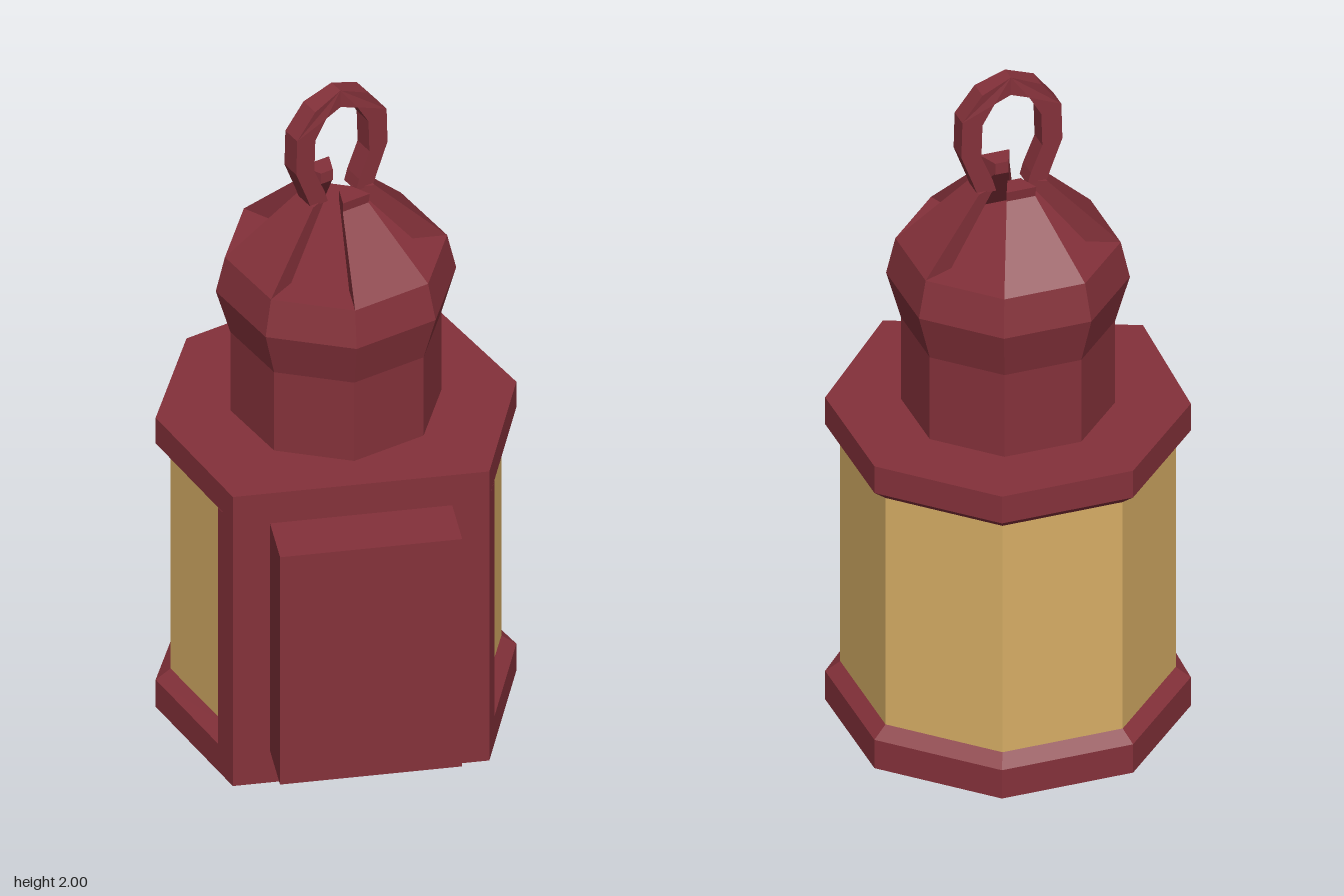
import * as THREE from 'three';

const red = new THREE.MeshStandardMaterial({ color: 0x84313a });
red.name = 'dark red paint';
const amber = new THREE.MeshStandardMaterial({ color: 0xd6ad65 });
amber.name = 'amber glass';

const CZ = -0.033; // z of the lantern's axis

// Flat-faced solid through stacked outlines: levels are [y, [[x, z], ...]] from bottom to top
function loft(levels, caps = true) {
  const pos = [];
  const put = (y, p) => pos.push(p[0], y, p[1]);
  for (let l = 0; l < levels.length - 1; l++) {
    const [y0, lo] = levels[l], [y1, hi] = levels[l + 1];
    for (let i = 0; i < lo.length; i++) {
      const j = (i + 1) % lo.length;
      put(y0, lo[i]); put(y0, lo[j]); put(y1, hi[j]);
      put(y0, lo[i]); put(y1, hi[j]); put(y1, hi[i]);
    }
  }
  if (caps) {
    const [yb, bottom] = levels[0], [yt, top] = levels[levels.length - 1];
    for (let i = 1; i < top.length - 1; i++) {
      put(yt, top[0]); put(yt, top[i]); put(yt, top[i + 1]);
      put(yb, bottom[0]); put(yb, bottom[i + 1]); put(yb, bottom[i]);
    }
  }
  const g = new THREE.BufferGeometry();
  g.setAttribute('position', new THREE.Float32BufferAttribute(pos, 3));
  g.computeVertexNormals();
  return g;
}

const polar = (r, k) => [r * Math.sin(k * Math.PI / 4), CZ + r * Math.cos(k * Math.PI / 4)];
const octagon = (r) => Array.from({ length: 8 }, (_, k) => polar(r, k));

// Octagon whose front is squared off to a flat panel
const bodyOutline = (r, frontX, frontZ) =>
  [[-frontX, frontZ], [frontX, frontZ], ...[2, 3, 4, 5, 6].map((k) => polar(r, k))];

// One eighth of a ring between two radii
const sector = (k, inner, outer) =>
  [polar(outer, k), polar(outer, k + 1), polar(inner, k + 1), polar(inner, k)];

export function createModel() {
  const group = new THREE.Group();
  const add = (name, geometry, material = red) => {
    const mesh = new THREE.Mesh(geometry, material);
    mesh.name = name;
    group.add(mesh);
    return mesh;
  };

  // Body: bevelled rims with glass between them
  const rim = bodyOutline(0.495, 0.352, 0.367);
  const pane = bodyOutline(0.454, 0.347, 0.26);
  add('baseRim', loft([[0, rim], [0.09, rim], [0.122, pane]]));
  add('topRim', loft([[0.842, pane], [0.875, rim], [0.96, rim]]));
  add('glass', loft([[0.122, pane], [0.842, pane]], false), amber);

  // Solid front with a raised box
  const panel = [[-0.352, 0.367], [0.352, 0.367], [0.38, 0.29],
    [0.347, 0.26], [-0.347, 0.26], [-0.38, 0.29]];
  add('frontPanel', loft([[0.09, panel], [0.875, panel]]));
  add('frontBox', new THREE.BoxGeometry(0.5, 0.755, 0.167)).position.set(0, 0.4825, 0.4435);

  // Chimney
  add('chimney', loft([[0.96, 0.29], [1.22, 0.29], [1.36, 0.33], [1.47, 0.305]]
    .map(([y, r]) => [y, octagon(r)])));

  // Four sloping struts on alternate sides of the chimney
  for (const k of [0, 2, 4, 6]) {
    add('roofStrut', loft([[1.47, sector(k, 0.21, 0.305)], [1.66, sector(k, 0.05, 0.107)]]));
  }
  // Stubs on the struts that do not carry the handle
  for (const k of [0, 4]) {
    add('roofStub', loft([[1.655, sector(k, 0.05, 0.107)], [1.69, sector(k, 0.05, 0.112)]]));
  }

  // Hanging loop, an arch turned to stand on the other two struts
  const outer = [[0.1, 1.655], [0.112, 1.69], [0.146, 1.78], [0.143, 1.89], [0.085, 1.965], [0, 2]];
  const inner = [[0.045, 1.655], [0.055, 1.69], [0.088, 1.77], [0.085, 1.87], [0.05, 1.93], [0, 1.945]];
  const mirror = (pts) => pts.slice(0, -1).reverse().map(([x, y]) => [-x, y]);
  const path = [...outer, ...mirror(outer), ...[...inner, ...mirror(inner)].reverse()];
  const arch = new THREE.Shape(path.map(([x, y]) => new THREE.Vector2(x, y)));
  const loop = new THREE.ExtrudeGeometry(arch, { depth: 0.06, bevelEnabled: false });
  loop.translate(0, 0, -0.03);
  // Narrower at the crown than at the sides
  const p = loop.attributes.position;
  for (let i = 0; i < p.count; i++) {
    if (p.getY(i) > 1.94 && Math.abs(p.getX(i)) < 0.01) p.setZ(i, p.getZ(i) * 0.75);
  }
  loop.computeVertexNormals();
  const handle = add('hangingLoop', loop);
  handle.rotation.y = Math.PI / 8;
  handle.position.z = CZ;

  return group;
}
